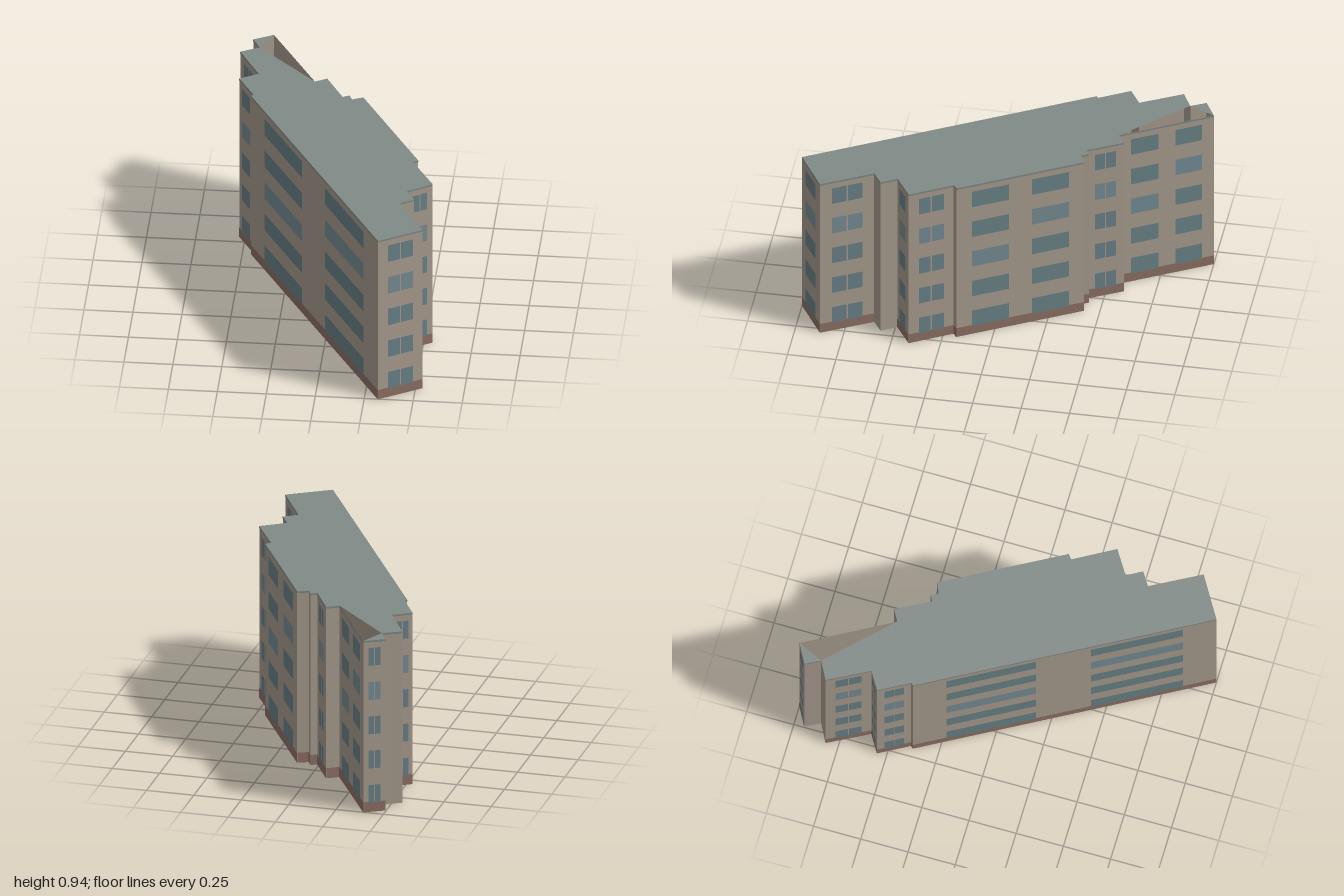
import * as THREE from 'three';
import { mergeGeometries } from 'three/addons/utils/BufferGeometryUtils.js';

const HEIGHT = 0.935, PLINTH = 0.055, FASCIA = 0.01;
const FLOORS = 5, PITCH = 0.187, SILL = 0.05, PANE = 0.097;

// Window layouts: [start, end] fractions along a wall
const SPLIT = [[0.22, 0.487], [0.513, 0.78]];
const LONG = [[0.11, 0.406], [0.587, 0.89]];
const WIDE = [[0.12, 0.41], [0.59, 0.88]];
const PAIR = [[0.125, 0.415], [0.595, 0.875]];
const NONE = [];

// Footprint corners: x, z, windows of the wall to the next corner, wall has a plinth
const PLAN = [
  [0.32, 1.0, SPLIT, true],
  [0.535, 0.87, SPLIT, true],
  [0.395, 0.615, NONE, false],
  [0.465, 0.57, NONE, false],
  [0.42, 0.49, SPLIT, true],
  [0.545, 0.41, SPLIT, true],
  [0.425, 0.2, NONE, true],
  [0.45, 0.18, WIDE, true],
  [0.115, -0.42, NONE, true],
  [0.06, -0.395, NONE, true],
  [0.042, -0.433, NONE, true],
  [0.01, -0.415, SPLIT, true],
  [-0.085, -0.59, NONE, true],
  [-0.145, -0.555, PAIR, true],
  [-0.395, -1.0, SPLIT, true],
  [-0.495, -0.945, NONE, false],
  [-0.455, -0.868, NONE, false],
  [-0.55, -0.818, SPLIT, true],
  [-0.437, -0.607, SPLIT, true],
  [-0.53, -0.55, SPLIT, true],
  [-0.443, -0.395, NONE, true],
  [-0.455, -0.383, LONG, true],
];

// Upright panel on the wall a-b, between fractions t0-t1 and heights y0-y1
function panel(a, b, t0, t1, y0, y1, offset = 0) {
  const dx = b[0] - a[0], dz = b[1] - a[1], len = Math.hypot(dx, dz), t = (t0 + t1) / 2;
  const g = new THREE.PlaneGeometry(len * (t1 - t0), y1 - y0);
  g.rotateY(Math.atan2(-dz, dx));
  g.translate(a[0] + dx * t - (dz / len) * offset, (y0 + y1) / 2, a[1] + dz * t + (dx / len) * offset);
  return g;
}

// Flat roof piece over some footprint corners
function roofPiece(points) {
  const g = new THREE.ShapeGeometry(new THREE.Shape(points.map(p => new THREE.Vector2(p[0], -p[1]))));
  g.rotateX(-Math.PI / 2);
  g.translate(0, HEIGHT, 0);
  return g;
}

export function createModel() {
  const group = new THREE.Group();
  const walls = [], plinths = [], fascias = [], darkPanes = [], lightPanes = [];

  PLAN.forEach((a, i) => {
    const b = PLAN[(i + 1) % PLAN.length], [, , windows, hasPlinth] = a;
    walls.push(panel(a, b, 0, 1, 0, HEIGHT));
    fascias.push(panel(a, b, 0, 1, HEIGHT - FASCIA, HEIGHT, 0.0015));
    if (hasPlinth) plinths.push(panel(a, b, 0, 1, 0, PLINTH, 0.0015));
    windows.forEach(([t0, t1], w) => {
      for (let f = 0; f < FLOORS; f++) {
        const y = SILL + f * PITCH;
        // A few rooms have paler glass
        const pale = windows === SPLIT ? f === 3 : (f === 3 && w === 1) || (f === 2 && w === 0);
        (pale ? lightPanes : darkPanes).push(panel(a, b, t0, t1, y, y + PANE, 0.003));
      }
    });
  });

  // Roof: main area and the small corner piece, open between them
  const roof = [
    roofPiece(PLAN.filter((p, i) => i !== 14 && i !== 15)),
    roofPiece([PLAN[14], PLAN[15], PLAN[16]]),
  ];

  const add = (name, geometries, color, side = THREE.FrontSide) => {
    const mesh = new THREE.Mesh(mergeGeometries(geometries), new THREE.MeshStandardMaterial({ color, side }));
    mesh.name = name;
    group.add(mesh);
  };
  add('walls', walls, 0xa89c8f, THREE.DoubleSide);
  add('plinth', plinths, 0x8d7064);
  add('roofEdge', fascias, 0x808a87);
  add('roof', roof, 0x808a87, THREE.DoubleSide);
  add('windows', darkPanes, 0x6a8288);
  add('paleWindows', lightPanes, 0x768d95);
  return group;
}
